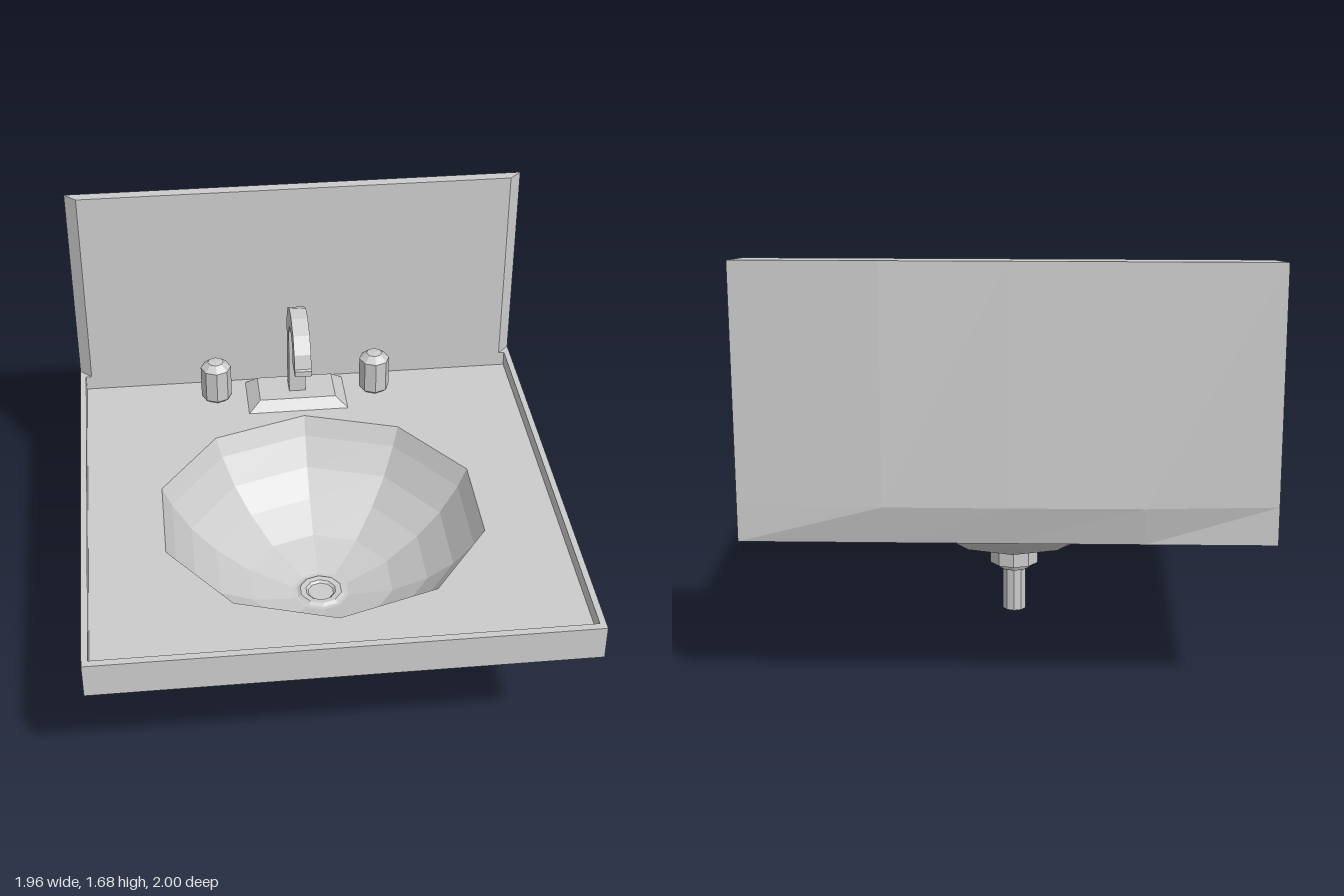
import * as THREE from 'three';

const BOWL_Z = 0.08;

export function createModel() {
  const root = new THREE.Group();
  root.name = 'washbasin';
  const mat = new THREE.MeshStandardMaterial({ color: 0xcccccc, flatShading: true, side: THREE.DoubleSide });

  const add = (name, geo, x = 0, y = 0, z = 0) => {
    const mesh = new THREE.Mesh(geo, mat);
    mesh.name = name;
    mesh.position.set(x, y, z);
    root.add(mesh);
    return mesh;
  };
  const pts = (list) => list.map(([a, b]) => new THREE.Vector2(a, b));
  // Plan outlines are given as [x, z] and laid flat
  const plan = (list) => pts(list.map(([x, z]) => [x, -z]));
  const rect = (x, z0, z1) => [[-x, z0], [x, z0], [x, z1], [-x, z1]];
  const decagon = (r) => Array.from({ length: 10 }, (_, i) => {
    const a = (i * Math.PI) / 5;
    return [r * Math.sin(a), BOWL_Z + r * Math.cos(a)];
  });
  const flatPlan = (outline, hole, depth) => {
    const shape = new THREE.Shape(plan(outline));
    if (hole) shape.holes.push(new THREE.Path(plan(hole)));
    const geo = depth
      ? new THREE.ExtrudeGeometry(shape, { depth, bevelEnabled: false })
      : new THREE.ShapeGeometry(shape);
    return geo.rotateX(-Math.PI / 2);
  };

  // Counter: raised rim, recessed floor and underside, both cut for the bowl
  add('counterRim', flatPlan(rect(0.98, -0.965, 1), rect(0.955, -0.915, 0.97), 0.145), 0, 0.645);
  add('counterFloor', flatPlan(rect(0.955, -0.915, 0.97), decagon(0.68)), 0, 0.725);
  add('counterUnderside', flatPlan(rect(0.955, -0.915, 0.97), decagon(0.64)), 0, 0.645);

  // Ten-sided bowl
  add('bowl', new THREE.LatheGeometry(pts([
    [0.05, 0.28], [0.12, 0.282], [0.31, 0.342], [0.455, 0.432], [0.56, 0.53], [0.64, 0.645], [0.68, 0.725],
  ]), 10), 0, 0, BOWL_Z);

  // Drain: inner flange, nut, collar and tail pipe
  add('drainFlange', new THREE.LatheGeometry(pts([
    [0, 0.275], [0.05, 0.275], [0.065, 0.29], [0.09, 0.292], [0.105, 0.283],
  ]), 10), 0, 0, BOWL_Z);
  add('drainPipe', new THREE.LatheGeometry(pts([
    [0, 0], [0.05, 0], [0.05, 0.185], [0.065, 0.185], [0.078, 0.212], [0.105, 0.212], [0.105, 0.28], [0, 0.28],
  ]), 10), 0, 0, BOWL_Z);

  // Backsplash with chamfered front corners
  add('backsplash', flatPlan(
    [[-0.98, -0.965], [-0.93, -0.915], [0.93, -0.915], [0.98, -0.965]], null, 0.89), 0, 0.79);

  // Back skin, bulging along the counter line and straight at top and bottom
  const xs = [-0.98, -0.5, 0, 0.45, 0.98];
  const bulge = [0, 0.031, 0.035, 0.034, 0];
  const pos = [], index = [];
  [[0.645, 0], [0.79, 1], [1.68, 0]].forEach(([y, k], r) => {
    xs.forEach((x, i) => {
      pos.push(x, y, -0.965 - k * bulge[i]);
      if (r < 2 && i < 4) {
        const a = r * 5 + i;
        index.push(a, a + 5, a + 1, a + 1, a + 5, a + 6);
      }
    });
  });
  const skin = new THREE.BufferGeometry();
  skin.setAttribute('position', new THREE.Float32BufferAttribute(pos, 3));
  skin.setIndex(index);
  skin.computeVertexNormals();
  add('backSkin', skin);

  // Bevelled faucet base plate: a four-sided frustum stretched to a rectangle
  const plate = new THREE.CylinderGeometry(0.5 * Math.SQRT2, 0.5 * Math.SQRT2, 0.045, 4).rotateY(Math.PI / 4);
  const p = plate.attributes.position;
  for (let i = 0; i < p.count; i++) {
    const top = p.getY(i) > 0;
    p.setX(i, p.getX(i) * (top ? 0.335 : 0.44));
    p.setZ(i, p.getZ(i) * (top ? 0.18 : 0.25));
  }
  add('faucetBase', plate, -0.02, 0.7475, -0.765);

  // Gooseneck spout: side profile as [z, y], extruded across x
  const spout = new THREE.ExtrudeGeometry(new THREE.Shape(pts([
    [-0.828, 0.76], [-0.828, 1.1], [-0.77, 1.185], [-0.69, 1.225], [-0.61, 1.222], [-0.53, 1.185],
    [-0.48, 1.12], [-0.462, 1.06], [-0.452, 1.055], [-0.452, 1.03], [-0.56, 1.03], [-0.56, 1.055],
    [-0.55, 1.06], [-0.565, 1.1], [-0.6, 1.132], [-0.65, 1.145], [-0.7, 1.13], [-0.735, 1.08], [-0.735, 0.76],
  ].map(([z, y]) => [-z, y]))), { depth: 0.072, bevelEnabled: false });
  add('spout', spout.rotateY(Math.PI / 2), -0.053);

  // Tap handles with domed caps
  for (const [name, x] of [['rightHandle', -0.375], ['leftHandle', 0.335]]) {
    add(name, new THREE.LatheGeometry(pts([
      [0.05, 0.725], [0.067, 0.74], [0.067, 0.885], [0.035, 0.912], [0, 0.915],
    ]), 8), x, 0, -0.79);
  }
  return root;
}
